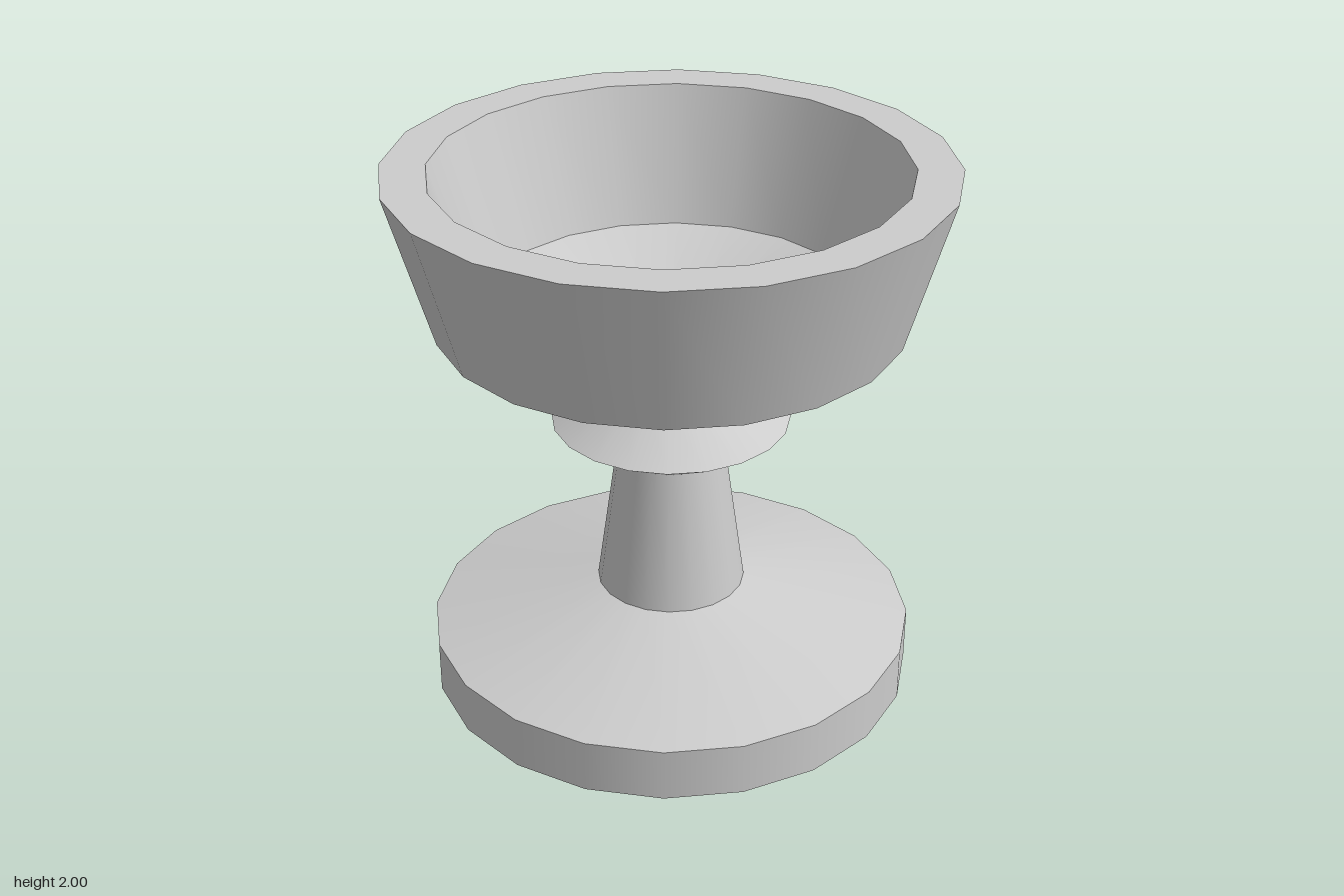
import * as THREE from 'three';
import { mergeGeometries } from 'three/addons/utils/BufferGeometryUtils.js';

const SIDES = 20;

// Turned part: each band is smooth around, with a sharp edge between bands.
// Profile points are [radius, height], running up the outside and down the inside.
function turned(name, profile, material) {
  const bands = [];
  for (let i = 0; i < profile.length - 1; i++) {
    const pair = [profile[i], profile[i + 1]].map(([r, y]) => new THREE.Vector2(r, y));
    bands.push(new THREE.LatheGeometry(pair, SIDES));
  }
  const mesh = new THREE.Mesh(mergeGeometries(bands), material);
  mesh.name = name;
  return mesh;
}

export function createModel() {
  const stone = new THREE.MeshStandardMaterial({ color: 0xcccccc });
  stone.name = 'grey stone';

  const group = new THREE.Group();
  group.name = 'goblet';
  group.add(
    // round foot with a sloped top
    turned('foot', [[0, 0], [0.9, 0], [0.9, 0.2], [0.275, 0.36]], stone),
    // tapered stem
    turned('stem', [[0.275, 0.36], [0.2, 0.9]], stone),
    // double-cone collar
    turned('collar', [[0.2, 0.9], [0.435, 1.04], [0.235, 1.165]], stone),
    // bowl: flared outside, flat rim, sloped inner wall and dished floor
    turned('bowl', [
      [0.235, 1.165], [0.84, 1.44], [1, 2],
      [0.84, 2], [0.68, 1.5], [0, 1.26],
    ], stone),
  );
  return group;
}
